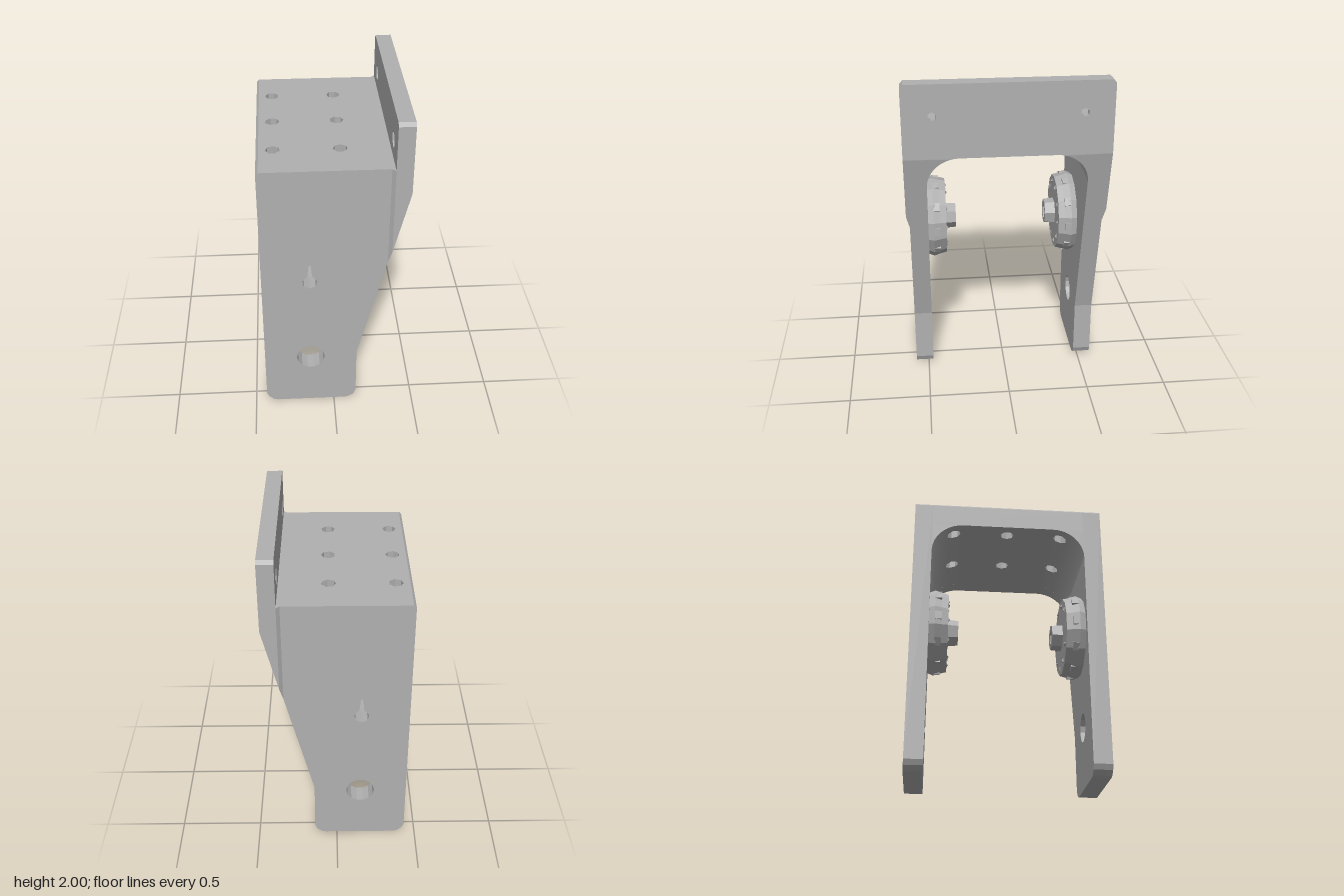
import * as THREE from 'three';
import { mergeGeometries } from 'three/addons/utils/BufferGeometryUtils.js';

const WALL = 0.47, OUT = 0.58, FLANGE = 0.6, TOP = 1.715, CEIL = 1.565, RAD = 0.19;
const PLATE_X = 0.33, FRONT = 0.425, PIVOT = [-0.145, 0.955];

// Sloping front edge of the legs, as x for a height and height for x
const slopeX = (y) => Math.min(FRONT, 0.14 + (y - 0.39) * 0.2436);
const slopeY = (x) => 0.39 + (x - 0.14) / 0.2436;
// Height of the rounded underside at a given z
const archY = (z) => {
  const d = Math.min(RAD, Math.max(0, Math.abs(z) - (WALL - RAD)));
  return CEIL - RAD + Math.sqrt(RAD * RAD - d * d);
};

function outline(points, holes = []) {
  const shape = new THREE.Shape(points.map((p) => new THREE.Vector2(...p)));
  for (const h of holes) shape.holes.push(new THREE.Path(h.map((p) => new THREE.Vector2(...p))));
  return shape;
}
const ring = (cx, cy, r, n, turn = 0) => Array.from({ length: n }, (_, i) => {
  const a = turn + (i / n) * Math.PI * 2;
  return [cx + r * Math.cos(a), cy + r * Math.sin(a)];
});
const extrude = (shape, depth) => new THREE.ExtrudeGeometry(shape, { depth, bevelEnabled: false });
const alongX = (shape, x0, x1) => extrude(shape, x1 - x0).rotateY(Math.PI / 2).translate(x0, 0, 0);
const alongY = (shape, y0, y1) => extrude(shape, y1 - y0).rotateX(-Math.PI / 2).translate(0, y0, 0);
const alongZ = (shape, z0, z1) => extrude(shape, z1 - z0).translate(0, 0, z0);

function reshape(geo, rule) {
  const p = geo.attributes.position, v = new THREE.Vector3();
  for (let i = 0; i < p.count; i++) {
    rule(v.fromBufferAttribute(p, i));
    p.setXYZ(i, v.x, v.y, v.z);
  }
  geo.computeVertexNormals();
  return geo;
}
function flat(geo) {
  const g = geo.index ? geo.toNonIndexed() : geo;
  g.computeVertexNormals();
  return g;
}

export function createModel() {
  const model = new THREE.Group();
  model.name = 'mountingBracket';
  const grey = new THREE.MeshStandardMaterial({ color: 0xb0b0b0 });
  grey.name = 'grey';
  const add = (name, geo, parent = model) => {
    const mesh = new THREE.Mesh(geo, grey);
    mesh.name = name;
    parent.add(mesh);
    return mesh;
  };

  // Side legs with an axle hole and a keyhole
  const legPoints = [
    [-0.43, 1.7], [-0.415, TOP], [PLATE_X, TOP], [PLATE_X, slopeY(PLATE_X)], [0.14, 0.39],
    [0.14, 0.06], [0.125, 0.025], [0.09, 0.003], [0.07, 0],
    [-0.36, 0], [-0.385, 0.005], [-0.415, 0.03], [-0.43, 0.06],
  ];
  const [px, py] = PIVOT;
  const keyhole = [[px + 0.015, py + 0.043], [px + 0.006, 1.08], [px - 0.006, 1.08], [px - 0.015, py + 0.043]];
  for (let i = 0; i < 7; i++) {
    const a = Math.PI * (0.65 + (i / 6) * 1.7);
    keyhole.push([px + 0.045 * Math.cos(a), py + 0.045 * Math.sin(a)]);
  }
  const leg = outline(legPoints, [ring(px, 0.365, 0.087, 14), keyhole]);
  add('leftLeg', alongZ(leg, WALL, OUT));
  add('rightLeg', alongZ(leg, -OUT, -WALL));

  // Top plate with six bolt holes
  const holeX = [-0.335, 0.045], holeZ = [-0.335, 0, 0.335], holeR = 0.042;
  const bolts = [];
  for (const x of holeX) for (const z of holeZ) bolts.push(ring(x, z, holeR, 7, z));
  add('topPlate', alongY(outline(
    [[-0.415, -WALL], [PLATE_X, -WALL], [PLATE_X, WALL], [-0.415, WALL]], bolts), CEIL, TOP));
  add('topRearEdge', alongZ(outline(
    [[-0.43, CEIL], [-0.415, CEIL], [-0.415, TOP], [-0.43, 1.7]]), -WALL, WALL));

  // Rounded inner corners; the shallow inner strip is pierced by the bolt holes
  const SPLIT = 0.385;
  const arc = (from, s) => Array.from({ length: 13 }, (_, i) => {
    const a0 = Math.asin((from - WALL + RAD) / RAD);
    const a = a0 + (Math.PI / 2 - a0) * (i / 12);
    return [s * (WALL - RAD + RAD * Math.sin(a)), CEIL - RAD + RAD * Math.cos(a)];
  });
  for (const s of [-1, 1]) {
    const side = s > 0 ? 'left' : 'right';
    add(side + 'Fillet', alongX(outline([[-s * SPLIT, CEIL], ...arc(SPLIT, -s), [-s * WALL, CEIL]]), -0.43, PLATE_X));
    const zs = [0.28, 0.31, 0.335, 0.36, SPLIT];
    const edge = [...zs.map((z) => [-0.43, -s * z]), ...zs.reverse().map((z) => [PLATE_X, -s * z])];
    const pierced = outline(edge, holeX.map((x) => ring(x, -s * 0.335, holeR, 7, -s * 0.335)));
    add(side + 'PiercedFillet', reshape(alongY(pierced, 1.5, CEIL), (v) => {
      if (v.y < 1.51) v.y = Math.min(archY(v.z), CEIL - 0.0005);
    }));

    // Flange cheek cut to the slope of the leg
    const low = slopeY(PLATE_X);
    const cheek = outline([[s * FLANGE, CEIL], [s * FLANGE, low], [s * WALL, low], ...arc(WALL - RAD, s).reverse()]);
    add(side + 'FlangeCheek', reshape(alongX(cheek, PLATE_X, FRONT), (v) => {
      if (v.x > PLATE_X + 0.05) v.x = slopeX(v.y);
    }));

    // Chamfer where the flange steps out from the leg
    const wedge = outline([[0.31, -s * OUT], [PLATE_X, -s * FLANGE], [PLATE_X, -s * OUT]]);
    add(side + 'StepChamfer', reshape(alongY(wedge, 1, TOP), (v) => {
      if (v.y < 1.1) v.y = slopeY(v.x);
    }));
  }

  // Upright flange with counterbored screw holes
  const flange = (r) => outline([
    [-FLANGE, CEIL], [FLANGE, CEIL], [FLANGE, 1.98], [FLANGE - 0.018, 2], [-FLANGE + 0.018, 2], [-FLANGE, 1.98],
  ], [-0.43, 0.43].map((z) => ring(z, 1.815, r, 6, 0.4)));
  add('flangeRear', alongX(flange(0.05), PLATE_X, 0.385));
  add('flangeFront', alongX(flange(0.026), 0.385, FRONT));

  // Round knobs with a hexagonal hub and a through bore
  const lathe = (pts, n) => flat(new THREE.LatheGeometry(pts.map((p) => new THREE.Vector2(...p)), n));
  const disc = lathe([[0.045, 0], [0.25, 0], [0.263, 0.035], [0.25, 0.075], [0.24, 0.115],
    [0.045, 0.115], [0.045, 0]], 14);
  const hub = lathe([[0.085, 0.11], [0.08, 0.18], [0.045, 0.18], [0.045, 0.11]], 7);
  const details = [];
  for (let i = 0; i < 10; i++) {
    const a = (i / 10) * Math.PI * 2;
    details.push(flat(new THREE.ConeGeometry(0.022, 0.012, 3)).translate(0.195, 0.12, 0).rotateY(a));
    details.push(flat(new THREE.BoxGeometry(0.02, 0.04, 0.05)).translate(0.248, 0.055, 0).rotateY(a));
  }
  const grips = mergeGeometries(details);
  for (const s of [-1, 1]) {
    const knob = new THREE.Group();
    knob.name = s > 0 ? 'leftKnob' : 'rightKnob';
    add('knobDisc', disc, knob);
    add('knobHub', hub, knob);
    add('knobGrips', grips, knob);
    knob.rotation.x = -s * Math.PI / 2;
    knob.position.set(px, py, s * WALL);
    model.add(knob);
  }
  return model;
}
